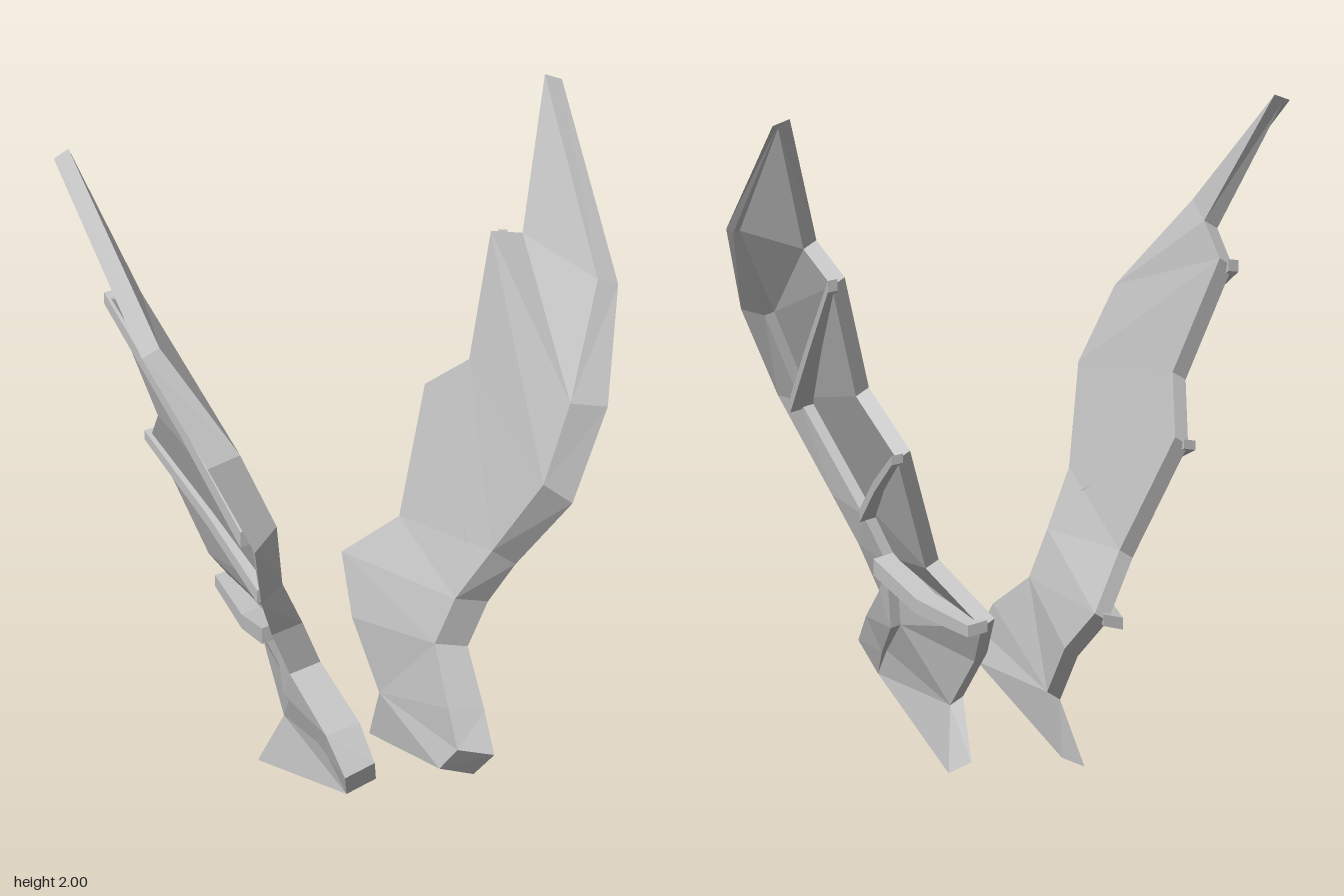
import * as THREE from 'three';

const grey = new THREE.MeshStandardMaterial({ color: 0xc0c0c0, side: THREE.DoubleSide, flatShading: true });
grey.name = 'plain grey';

const add = (p, q) => p.map((v, i) => v + q[i]);
const mix = (p, q, t) => p.map((v, i) => v + (q[i] - v) * t);

// Arm bone: inner front edge, outer front edge and outer back edge, from shoulder to wing tip
const inner = [
  [0.13, 0.30, 0.50], [0.14, 0.39, 0.40], [0.18, 0.50, 0.18], [0.24, 0.64, 0.19], [0.33, 0.81, 0.26],
  [0.42, 1.09, 0.45], [0.52, 1.32, 0.41], [0.69, 1.60, 0.19], [0.75, 2.00, -0.41],
];
const front = [
  [0.235, 0.28, 0.53], [0.25, 0.37, 0.41], [0.28, 0.48, 0.19], [0.34, 0.62, 0.20], [0.40, 0.76, 0.27],
  [0.50, 1.03, 0.48], [0.63, 1.30, 0.43], [0.75, 1.58, 0.20], [0.80, 1.98, -0.40],
];
const back = [
  [0.20, 0.19, 0.45], [0.22, 0.27, 0.35], [0.27, 0.38, 0.11], [0.29, 0.58, 0.09], [0.35, 0.72, 0.13],
  [0.47, 1.03, 0.36], [0.58, 1.29, 0.36], [0.735, 1.57, 0.18], [0.785, 1.97, -0.39],
];
// Step from the bone down to the skin behind it
const step = [0, 0.015, 0.03, 0.03, 0.03, 0.03, 0.03, 0.02, 0.005];
const seam = back.map((p, i) => add(p, [-step[i], step[i] * 0.3, 0]));
const heel = [0.10, 0.215, 0.43];

// Scalloped trailing edge, inner and outer side
const trail = [
  [0.14, 0.03, -0.26], [0.13, 0.21, -0.15], [0.12, 0.37, -0.35], [0.155, 0.50, -0.53], [0.28, 0.66, -0.38],
  [0.41, 1.01, -0.51], [0.47, 1.17, -0.30], [0.58, 1.52, -0.41], [0.60, 1.60, -0.20],
];
const trailOut = trail.map((p, i) => add(p, i ? [0.04, -0.025, 0] : [0.07, -0.03, 0]));

// Collects flat polygons into one mesh; side = -1 mirrors it
function polyMesh(name, polys, side) {
  const pos = [];
  for (const poly of polys) {
    for (let i = 1; i < poly.length - 1; i++) {
      const tri = side > 0 ? [poly[0], poly[i], poly[i + 1]] : [poly[0], poly[i + 1], poly[i]];
      for (const p of tri) pos.push(p[0] * side, p[1], p[2]);
    }
  }
  const g = new THREE.BufferGeometry();
  g.setAttribute('position', new THREE.Float32BufferAttribute(pos, 3));
  g.computeVertexNormals();
  const m = new THREE.Mesh(g, grey);
  m.name = name;
  return m;
}

// Angular bone along the leading edge
function armPolys() {
  const polys = [[heel, back[0], front[0], inner[0]]];
  for (let i = 0; i < 8; i++) {
    for (const [p, q] of [[inner, front], [front, back], [back, seam]]) {
      polys.push([p[i], q[i], q[i + 1], p[i + 1]]);
    }
  }
  polys.push([inner[8], front[8], back[8], seam[8]]);
  return polys;
}

// Wing skin: two sheets zipped between bone and trailing edge, closed by a rim
function skinPolys() {
  const polys = [];
  const sheet = (arm, edge, flip) => {
    let a = 0, t = 0;
    for (const c of 'taaattatattatataa') {
      const tri = [arm[a], edge[t], c === 'a' ? arm[++a] : edge[++t]];
      polys.push(flip ? tri.reverse() : tri);
    }
  };
  sheet([heel, ...inner], trail, true);
  sheet([back[0], ...seam], trailOut, false);
  const rimIn = [...trail, inner[8]], rimOut = [...trailOut, seam[8]];
  for (let i = 0; i < 9; i++) polys.push([rimIn[i], rimIn[i + 1], rimOut[i + 1], rimOut[i]]);
  polys.push([heel, trail[0], trailOut[0], back[0]]);
  return polys;
}

// Finger rib on the outer side: a bent, tapering bar of three sections
function ribPolys({ arm, tip, rise, bend, width }) {
  const a = seam[arm], b = trailOut[tip];
  const ring = (c, w, p) => [
    add(c, [-0.015, -w, 0]), add(c, [p, -w - p * 0.3, 0]),
    add(c, [p, w - p * 0.3, 0]), add(c, [-0.015, w, 0]),
  ];
  const rings = [
    ring(a, width, rise[0]),
    ring(add(mix(a, b, 0.45), [0, bend, 0]), width * 0.9, (rise[0] + rise[1]) / 2),
    ring(add(b, [0, 0.005, -0.008]), width * 0.7, rise[1]),
  ];
  const polys = [rings[0].slice().reverse(), rings[2]];
  for (let i = 0; i < 2; i++) {
    for (let k = 0; k < 4; k++) {
      const n = (k + 1) % 4;
      polys.push([rings[i][k], rings[i][n], rings[i + 1][n], rings[i + 1][k]]);
    }
  }
  return polys;
}

const ribs = [
  { name: 'upperRib', arm: 5, tip: 7, rise: [0.06, 0.015], bend: 0.01, width: 0.025 },
  { name: 'middleRib', arm: 4, tip: 5, rise: [0.04, 0.02], bend: 0.015, width: 0.02 },
  { name: 'lowerRib', arm: 3, tip: 3, rise: [0.07, 0.045], bend: -0.03, width: 0.025 },
];

export function createModel() {
  const model = new THREE.Group();
  model.name = 'wings';
  for (const side of [1, -1]) {
    const wing = new THREE.Group();
    wing.name = side > 0 ? 'leftWing' : 'rightWing';
    wing.add(polyMesh('armBone', armPolys(), side));
    wing.add(polyMesh('wingSkin', skinPolys(), side));
    for (const rib of ribs) wing.add(polyMesh(rib.name, ribPolys(rib), side));
    model.add(wing);
  }
  return model;
}
